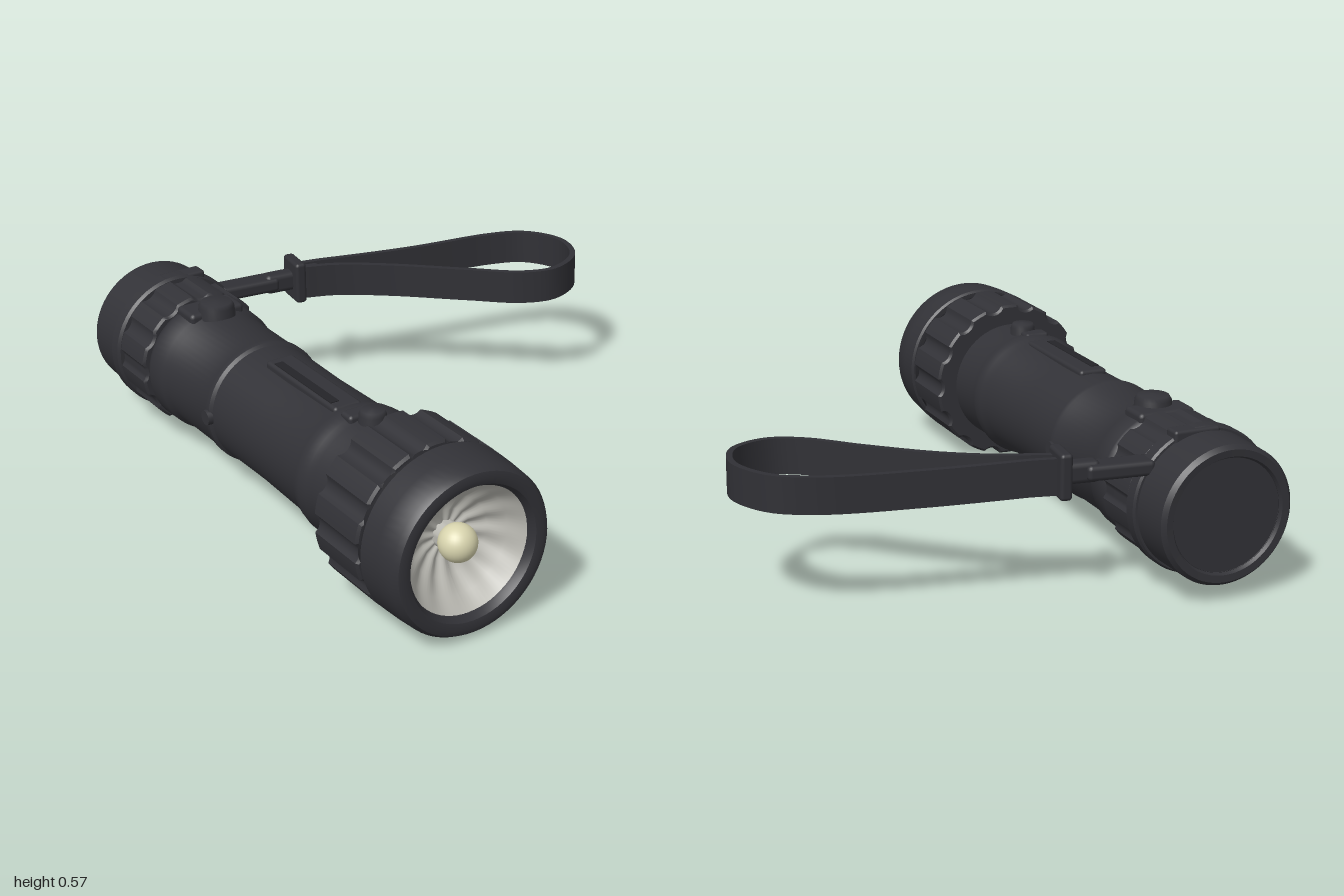
import * as THREE from 'three';
import { toCreasedNormals } from 'three/addons/utils/BufferGeometryUtils.js';
import { RoundedBoxGeometry } from 'three/addons/geometries/RoundedBoxGeometry.js';

const mat = (name, color, side = THREE.FrontSide) => {
  const m = new THREE.MeshStandardMaterial({ color, side });
  m.name = name;
  return m;
};

export function createModel() {
  const black = mat('black rubber', 0x323237);
  const strapBlack = mat('strap black', 0x303035);
  const dark = mat('groove black', 0x242428);
  const silver = mat('reflector silver', 0xb9b8b1, THREE.DoubleSide);
  const cream = mat('bulb cream', 0xd8d4ae);

  const root = new THREE.Group();
  root.name = 'flashlight';
  const torch = new THREE.Group(); // local axis runs along z
  torch.name = 'torch';
  torch.position.set(-0.56, 0.287, 0);
  root.add(torch);

  const add = (parent, name, geo, material, x = 0, y = 0, z = 0) => {
    const mesh = new THREE.Mesh(geo, material);
    mesh.name = name;
    mesh.position.set(x, y, z);
    parent.add(mesh);
    return mesh;
  };

  // Turned part: pairs of [radius, z], listed with z ascending on the outside
  const turned = (name, pts, material, segs = 64) => {
    const g = new THREE.LatheGeometry(pts.map(p => new THREE.Vector2(...p)), segs);
    g.rotateX(Math.PI / 2);
    return add(torch, name, toCreasedNormals(g, 0.6), material);
  };

  // Grip ring with shallow flutes cut around its edge
  const fluted = (name, r, depth, count, z0, z1) => {
    const pts = [];
    const n = count * 12;
    for (let i = 0; i < n; i++) {
      const a = (i / n) * Math.PI * 2;
      const cut = Math.pow(Math.max(0, Math.cos(a * count)), 0.6) * depth;
      pts.push(new THREE.Vector2(Math.cos(a) * (r - cut), Math.sin(a) * (r - cut)));
    }
    const bevel = 0.008;
    const g = new THREE.ExtrudeGeometry(new THREE.Shape(pts), {
      depth: z1 - z0 - 2 * bevel, bevelEnabled: true, bevelSize: bevel,
      bevelThickness: bevel, bevelOffset: -bevel, bevelSegments: 1,
    });
    return add(torch, name, toCreasedNormals(g, 0.6), black, 0, 0, z0 + bevel);
  };

  // Barrel with flared collars at both ends
  turned('barrel', [
    [0.19, -0.63], [0.215, -0.61], [0.222, -0.59], [0.219, -0.51], [0.207, -0.49],
    [0.206, -0.23], [0.212, -0.22], [0.212, -0.2], [0.203, -0.19], [0.2, 0.05],
    [0.206, 0.32], [0.217, 0.35], [0.222, 0.38], [0.216, 0.41], [0.21, 0.44], [0.213, 0.58],
  ], black);

  // Head: fluted grip, groove and smooth hollow bezel
  fluted('headGrip', 0.284, 0.018, 14, 0.57, 0.805);
  turned('headGroove', [[0.2, 0.79], [0.27, 0.795], [0.27, 0.83], [0.2, 0.835]], dark);
  turned('bezel', [
    [0.22, 0.82], [0.276, 0.82], [0.283, 0.828], [0.28, 0.9], [0.274, 0.975],
    [0.262, 0.994], [0.243, 1], [0.222, 0.994], [0.21, 0.975], [0.208, 0.95],
  ], black);
  // Reflector with gently rippled facets
  const bowl = new THREE.LatheGeometry([
    [0.03, 0.845], [0.08, 0.85], [0.13, 0.875], [0.175, 0.915], [0.212, 0.97],
  ].map(p => new THREE.Vector2(...p)), 96);
  const bp = bowl.attributes.position;
  for (let i = 0; i < bp.count; i++) {
    const x = bp.getX(i), z = bp.getZ(i), r = Math.hypot(x, z);
    const ripple = Math.sin(Math.atan2(z, x) * 12) * 0.006 * Math.sin(Math.min(1, r / 0.212) * Math.PI);
    bp.setY(i, bp.getY(i) + ripple);
  }
  bowl.rotateX(Math.PI / 2);
  bowl.computeVertexNormals();
  add(torch, 'reflector', bowl, silver);
  add(torch, 'bulb', new THREE.SphereGeometry(0.06, 32, 20), cream, 0, 0, 0.91);
  turned('bulbSocket', [[0.045, 0.83], [0.045, 0.88], [0.0, 0.88]], silver, 32);

  // Tail cap: fluted ring, lanyard band and recessed end
  fluted('tailGrip', 0.235, 0.014, 12, -0.62, -0.79);
  torch.children.at(-1).removeFromParent();
  fluted('tailGrip', 0.235, 0.014, 12, -0.79, -0.615);
  turned('lanyardBand', [[0.2, -0.845], [0.237, -0.843], [0.243, -0.835], [0.243, -0.795], [0.235, -0.785], [0.2, -0.783]], black);
  turned('tailCap', [
    [0, -0.985], [0.185, -0.985], [0.192, -0.998], [0.215, -1], [0.228, -0.985], [0.23, -0.84], [0.2, -0.835],
  ], black);
  turned('tailSeam', [[0.185, -0.987], [0.192, -0.987], [0.192, -0.98]], dark);

  // Top buttons: the rear switch and the small front latch
  const button = (name, r, top, z) => {
    const g = new THREE.LatheGeometry([
      [r * 1.1, 0.17], [r, top - 0.018], [r * 0.85, top - 0.004], [0, top],
    ].map(p => new THREE.Vector2(...p)), 28);
    add(torch, name, g, black, 0, 0, z);
  };
  button('rearSwitch', 0.06, 0.255, -0.51);
  button('frontLatch', 0.043, 0.25, 0.46);
  add(torch, 'switchPad', new RoundedBoxGeometry(0.2, 0.05, 0.11, 2, 0.015), black, 0, 0.198, -0.555);
  add(torch, 'latchArm', new RoundedBoxGeometry(0.09, 0.04, 0.06, 2, 0.012), black, -0.02, 0.205, 0.405);

  // Raised grip spine on top, with a narrow dark slot
  add(torch, 'gripSpine', new RoundedBoxGeometry(0.1, 0.04, 0.42, 2, 0.012), black, -0.01, 0.194, 0.13);
  add(torch, 'gripSlot', new THREE.BoxGeometry(0.03, 0.004, 0.34), dark, -0.035, 0.2145, 0.13);
  // Raised tab on the tail ring and side rivets
  add(torch, 'tailTab', new RoundedBoxGeometry(0.16, 0.05, 0.06, 2, 0.01), black, 0.03, 0.215, -0.82);
  for (const s of [-1, 1]) {
    const rivet = add(torch, 'sideRivet', new THREE.CylinderGeometry(0.025, 0.028, 0.03, 20), black, s * 0.205, 0, -0.21);
    rivet.rotation.z = Math.PI / 2;
  }

  // Wrist strap: clasp pieces and a flat band bent into a loop
  const strap = new THREE.Group();
  strap.name = 'wristStrap';
  root.add(strap);
  const block = (name, w, h, d, x, y, z, turn = -0.12) => {
    const m = add(strap, name, new RoundedBoxGeometry(w, h, d, 2, Math.min(w, h, d) * 0.3), strapBlack, x, y, z);
    m.rotation.y = turn;
  };
  block('claspTab', 0.22, 0.05, 0.085, -0.28, 0.42, -0.8);
  block('claspNeck', 0.12, 0.07, 0.06, -0.16, 0.42, -0.78);
  block('claspBuckle', 0.04, 0.15, 0.12, -0.1, 0.42, -0.77);
  block('claspSlider', 0.08, 0.1, 0.05, -0.05, 0.415, -0.755, -0.2);

  const path = new THREE.CatmullRomCurve3([
    [-0.1, -0.785], [0, -0.763], [0.33, -0.695], [0.65, -0.63], [0.77, -0.565], [0.832, -0.43],
    [0.785, -0.295], [0.66, -0.238], [0.55, -0.275], [0.4, -0.41], [0.2, -0.585], [0.04, -0.69], [-0.1, -0.745],
  ].map(([x, z]) => new THREE.Vector3(x, 0, z)));
  const steps = 120, pos = [], idx = [];
  for (let i = 0; i <= steps; i++) {
    const p = path.getPointAt(i / steps), t = path.getTangentAt(i / steps);
    const y = 0.413 - 0.01 * Math.sin(Math.PI * Math.min(1, Math.max(0, p.x / 0.84)));
    // Four corners of the band's cross-section
    for (const [side, up] of [[1, -1], [1, 1], [-1, 1], [-1, -1]]) {
      pos.push(p.x - t.z * side * 0.01, y + up * 0.059, p.z + t.x * side * 0.01);
    }
    if (i < steps) for (let k = 0; k < 4; k++) {
      const a = i * 4 + k, b = i * 4 + (k + 1) % 4;
      idx.push(a, a + 4, b, b, a + 4, b + 4);
    }
  }
  const e = steps * 4;
  idx.push(0, 1, 2, 0, 2, 3, e, e + 2, e + 1, e, e + 3, e + 2);
  const band = new THREE.BufferGeometry();
  band.setAttribute('position', new THREE.Float32BufferAttribute(pos, 3));
  band.setIndex(idx);
  add(strap, 'strapLoop', toCreasedNormals(band, 0.7), strapBlack);

  return root;
}
